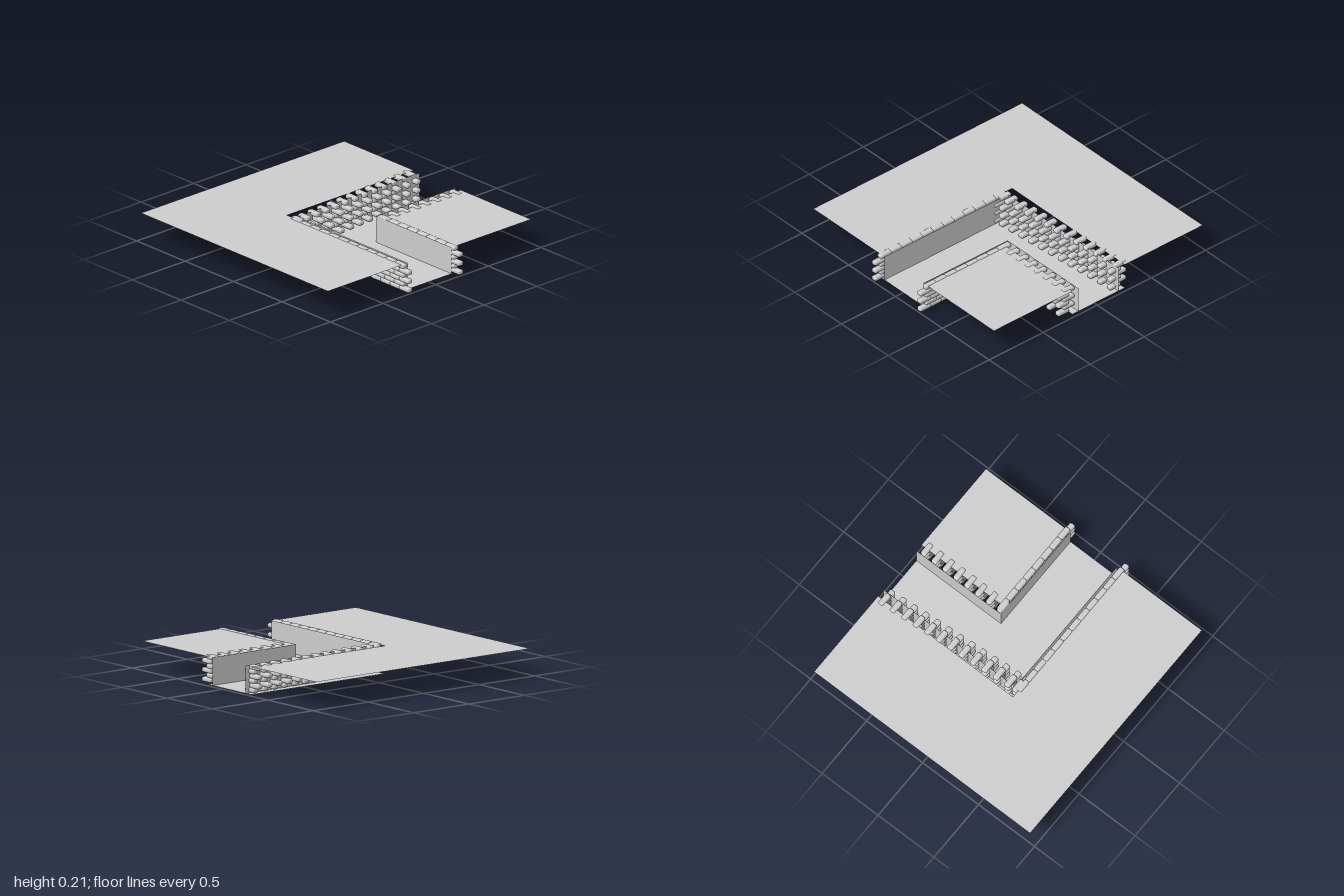
import * as THREE from 'three';
import { RoundedBoxGeometry } from 'three/addons/geometries/RoundedBoxGeometry.js';

const TOP = 0.2, STEP = 0.097, LEN = 0.102;
const EAST = 0.93, WEST = -1, NORTH = -0.97, SOUTH = 0.96;

export function createModel() {
  const model = new THREE.Group();
  const sheetMat = new THREE.MeshStandardMaterial({ color: 0xcccccc, side: THREE.DoubleSide });
  const stoneMat = new THREE.MeshStandardMaterial({ color: 0xcccccc });
  const stone = new RoundedBoxGeometry(LEN, 0.034, 0.046, 3, 0.014);

  // Flat horizontal sheet from [x, z] corners
  function sheet(name, y, corners) {
    const shape = new THREE.Shape(corners.map(([x, z]) => new THREE.Vector2(x, -z)));
    const mesh = new THREE.Mesh(new THREE.ShapeGeometry(shape).rotateX(-Math.PI / 2), sheetMat);
    mesh.position.y = y;
    mesh.name = name;
    model.add(mesh);
  }

  // Upright backing sheet between two [x, z] points
  function backing(name, [x0, z0], [x1, z1]) {
    const geo = new THREE.PlaneGeometry(Math.hypot(x1 - x0, z1 - z0), TOP);
    const mesh = new THREE.Mesh(geo, sheetMat);
    mesh.position.set((x0 + x1) / 2, TOP / 2, (z0 + z1) / 2);
    mesh.rotation.y = -Math.atan2(z1 - z0, x1 - x0);
    mesh.name = name;
    model.add(mesh);
  }

  // Six courses of stones, every second course shifted along x
  function stonework(name, count, place, shift) {
    const wall = new THREE.Group();
    wall.name = name;
    for (let row = 0; row < 6; row++) {
      for (let i = 0; i < count; i++) {
        const [x, z] = place(i);
        const mesh = new THREE.Mesh(stone, stoneMat);
        mesh.name = 'stone';
        mesh.position.set(x + (row % 2 ? shift : 0), 0.022 + row * 0.0333, z);
        wall.add(mesh);
      }
    }
    model.add(wall);
  }

  // Raised ground either side of the sunken bend
  sheet('outerGround', TOP, [[WEST, SOUTH], [EAST, SOUTH], [EAST, 0.235], [-0.28, 0.235], [-0.28, NORTH], [WEST, NORTH]]);
  sheet('innerGround', TOP, [[0.205, -0.23], [EAST, -0.23], [EAST, NORTH], [0.205, NORTH]]);

  // Sunken floor
  sheet('channelFloor', 0.001, [[-0.28, 0.235], [EAST, 0.235], [EAST, -0.23], [0.205, -0.23], [0.205, NORTH], [-0.28, NORTH]]);

  // Smooth wall sheets
  backing('outerFrontBacking', [-0.21, 0.2], [EAST, 0.2]);
  backing('outerSideBacking', [-0.22, NORTH], [-0.21, 0.2]);
  backing('innerFrontBacking', [0.15, -0.215], [EAST, -0.215]);
  backing('innerSideBacking', [0.15, NORTH], [0.15, -0.215]);

  // Stone courses; the outer side wall drifts slightly along its length
  stonework('outerFrontStones', 12, i => [0.949 - i * STEP, 0.238], -0.053);
  stonework('outerCornerStones', 1, () => [-0.14, 0.213], -0.05);
  stonework('outerSideStones', 12, i => [-0.222 + i * 0.007, -0.92 + i * STEP], -0.05);
  stonework('innerFrontStones', 8, i => [0.949 - i * STEP, -0.246], -0.053);
  stonework('innerSideStones', 8, i => [0.256, -0.92 + i * STEP], -0.05);

  return model;
}
